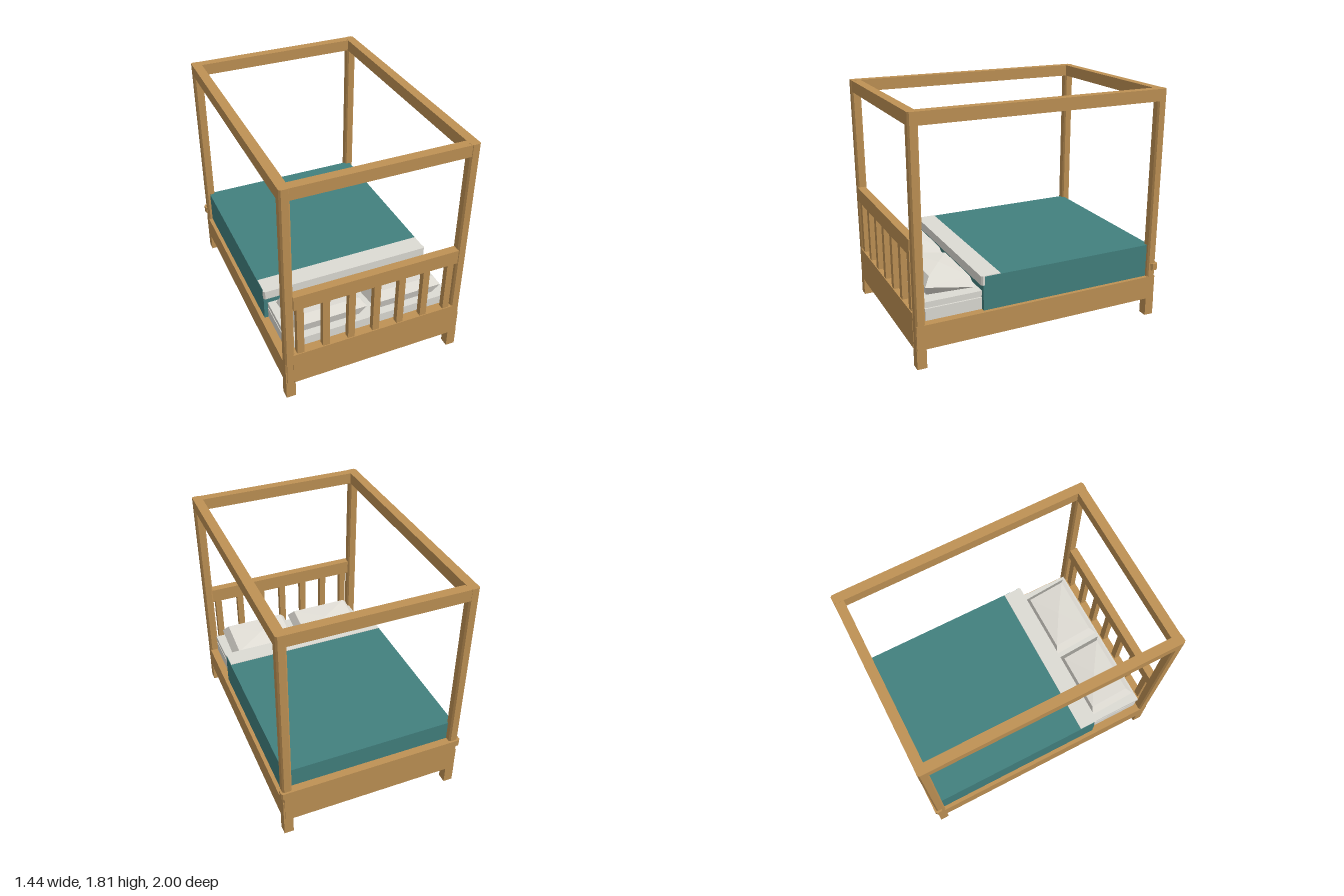
import * as THREE from 'three';
import { ConvexGeometry } from 'three/addons/geometries/ConvexGeometry.js';

function material(name, color) {
  const m = new THREE.MeshStandardMaterial({ color });
  m.name = name;
  return m;
}

export function createModel() {
  const wood = material('wood', 0xbe9154);
  const teal = material('tealBlanket', 0x42807e);
  const linen = material('linen', 0xdddbd4);
  const pillowCloth = material('pillowCloth', 0xe1ded6);
  const bed = new THREE.Group();
  bed.name = 'canopyBed';

  function add(name, geometry, mat) {
    const mesh = new THREE.Mesh(geometry, mat);
    mesh.name = name;
    bed.add(mesh);
    return mesh;
  }
  // Box given by its limits on each axis
  function box(name, mat, x0, x1, y0, y1, z0, z1) {
    const g = new THREE.BoxGeometry(x1 - x0, y1 - y0, z1 - z0);
    g.translate((x0 + x1) / 2, (y0 + y1) / 2, (z0 + z1) / 2);
    return add(name, g, mat);
  }
  // Upright prism with chamfered corners, centred on x and z
  function prism(name, mat, x, z, w, d, c, y0, y1) {
    const shape = new THREE.Shape([
      [w, -d + c], [w, d - c], [w - c, d], [-w + c, d],
      [-w, d - c], [-w, -d + c], [-w + c, -d], [w - c, -d],
    ].map(([px, py]) => new THREE.Vector2(px, py)));
    const g = new THREE.ExtrudeGeometry(shape, { depth: y1 - y0, bevelEnabled: false });
    g.rotateX(-Math.PI / 2);
    g.translate(x, y0, z);
    return add(name, g, mat);
  }

  // Square legs carrying chamfered posts, joined by long rails
  const h = 0.036;
  for (const sx of [-1, 1]) {
    const x = sx * 0.669;
    for (const z of [-0.95, 0.958]) {
      box('leg', wood, x - h, x + h, 0, 0.145, z - h, z + h);
      prism('post', wood, x, z, h, h, 0.012, 0.145, 1.81);
    }
    box('sideRail', wood, x - h, x + h, 0.145, 0.33, -0.984, 0.99);
    box('canopySideRail', wood, x - h, x + h, 1.72, 1.81, -0.94, 0.945);
  }
  for (const z of [-0.95, 0.956]) {
    box('canopyCrossRail', wood, -0.645, 0.645, 1.72, 1.809, z - 0.035, z + 0.035);
  }

  // Headboard with seven slats
  box('headboardPanel', wood, -0.645, 0.645, 0.14, 0.41, 0.925, 0.997);
  box('headboardTopRail', wood, -0.635, 0.635, 0.83, 0.945, 0.935, 0.998);
  for (let i = -3; i <= 3; i++) {
    box('headboardSlat', wood, i * 0.195 - 0.026, i * 0.195 + 0.026, 0.4, 0.84, 0.945, 0.99);
  }

  // Footboard with projecting cap
  box('footboardPanel', wood, -0.645, 0.645, 0.14, 0.39, -0.986, -0.92);
  prism('footboardCap', wood, 0, -0.97, 0.72, 0.03, 0.012, 0.385, 0.438);

  // Mattress with a narrow seam under its top layer
  box('mattress', linen, -0.645, 0.645, 0.28, 0.42, -0.92, 0.902);
  box('mattressSeam', linen, -0.632, 0.632, 0.42, 0.435, -0.9, 0.89);
  box('mattressTop', linen, -0.645, 0.645, 0.435, 0.472, -0.91, 0.917);

  // Blanket and turned-down sheet
  box('blanket', teal, -0.675, 0.675, 0.328, 0.59, -0.937, 0.475);
  box('sheetFold', linen, -0.672, 0.672, 0.588, 0.595, 0.34, 0.468);
  prism('sheetLip', linen, 0, 0.474, 0.678, 0.018, 0.012, 0.525, 0.595);

  // Two tilted pillows, each a faceted cushion widest at its seam
  for (const s of [-1, 1]) {
    const pts = [new THREE.Vector3(s * 0.305, 0.6, 0.67)];
    const ring = (inset, zFront, yFront, zBack, yBack) => {
      for (const x of [0.02 + inset, 0.59 - inset]) {
        pts.push(new THREE.Vector3(s * x, yFront, zFront), new THREE.Vector3(s * x, yBack, zBack));
      }
    };
    ring(0.05, 0.855, 0.475, 0.54, 0.473);
    ring(0, 0.878, 0.553, 0.508, 0.485);
    ring(0.045, 0.832, 0.613, 0.525, 0.557);
    add(s > 0 ? 'leftPillow' : 'rightPillow', new ConvexGeometry(pts), pillowCloth);
  }
  return bed;
}
